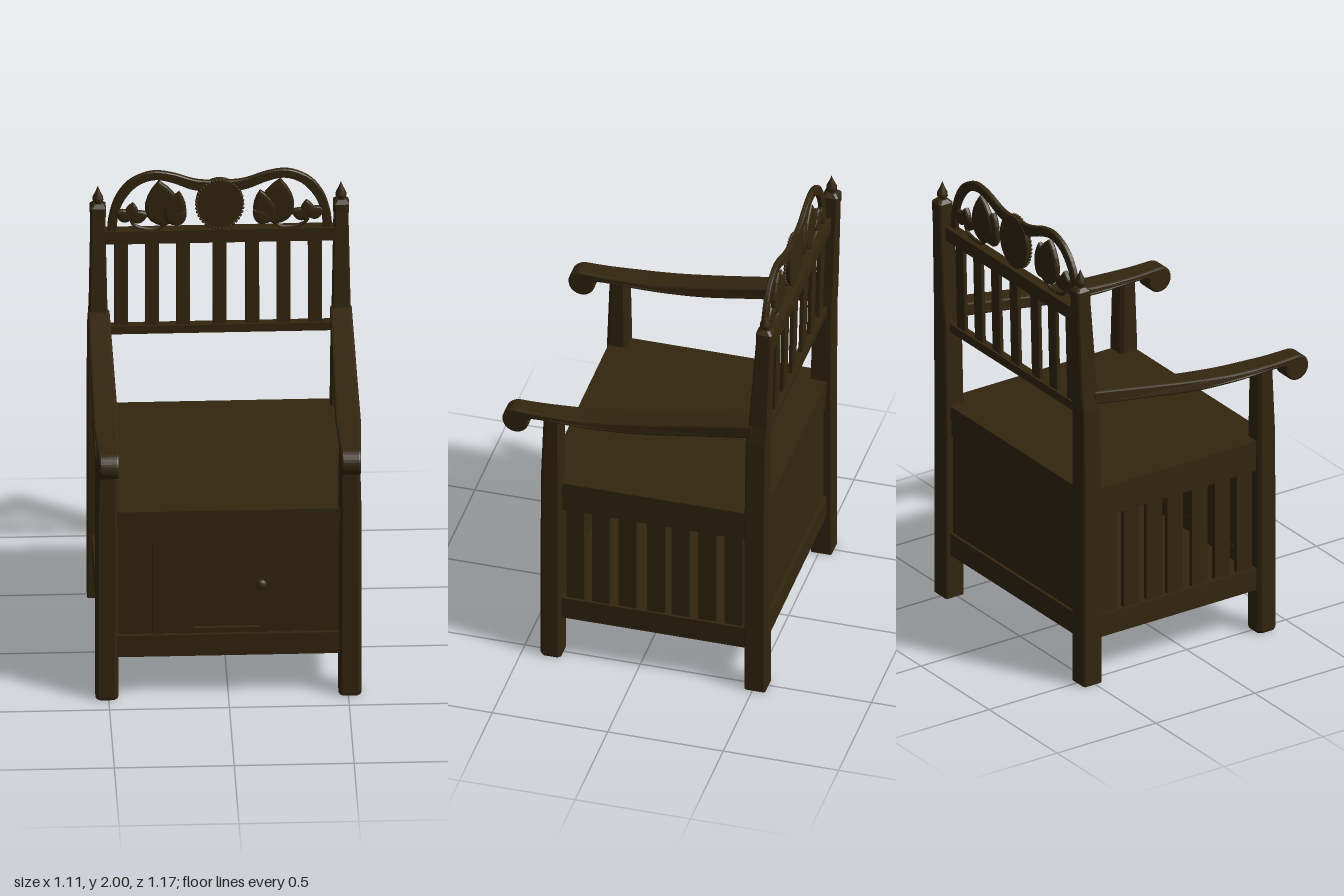
import * as THREE from 'three';

const wood = new THREE.MeshStandardMaterial({ color: 0x33260f });
wood.name = 'dark wood';

function add(parent, name, geometry, x = 0, y = 0, z = 0) {
  const mesh = new THREE.Mesh(geometry, wood);
  mesh.name = name;
  mesh.position.set(x, y, z);
  parent.add(mesh);
  return mesh;
}

// Box given by its limits on each axis
function box(parent, name, x0, x1, y0, y1, z0, z1) {
  return add(parent, name, new THREE.BoxGeometry(x1 - x0, y1 - y0, z1 - z0),
    (x0 + x1) / 2, (y0 + y1) / 2, (z0 + z1) / 2);
}

// Post with chamfered corners; sections are [y, x, z, width, depth]
function postGeometry(sections, chamfer) {
  const rings = sections.map(([y, x, z, w, d]) => {
    const a = w / 2, b = d / 2, c = Math.min(chamfer, a / 2, b / 2);
    return [[a, -b + c], [a, b - c], [a - c, b], [c - a, b], [-a, b - c], [-a, c - b], [c - a, -b], [a - c, -b]]
      .map(([u, v]) => [x + u, y, z + v]);
  });
  const pos = [];
  const tri = (...points) => points.forEach((p) => pos.push(...p));
  const last = rings[rings.length - 1];
  for (let j = 0; j < 8; j++) {
    const k = (j + 1) % 8;
    for (let i = 0; i < rings.length - 1; i++) {
      tri(rings[i][j], rings[i + 1][j], rings[i][k]);
      tri(rings[i][k], rings[i + 1][j], rings[i + 1][k]);
    }
    if (j > 0 && j < 7) {
      tri(rings[0][0], rings[0][j], rings[0][k]);
      tri(last[0], last[k], last[j]);
    }
  }
  const g = new THREE.BufferGeometry();
  g.setAttribute('position', new THREE.Float32BufferAttribute(pos, 3));
  g.computeVertexNormals();
  return g;
}

const vectors = (list) => list.map(([x, y]) => new THREE.Vector2(x, y));

// Arm: side profile extruded across, then tapered along its length
function armGeometry() {
  const s = new THREE.Shape();
  s.moveTo(-0.5, 1.355);
  s.splineThru(vectors([[-0.25, 1.312], [0, 1.27], [0.2, 1.245], [0.4, 1.235], [0.53, 1.237]]));
  s.absarc(0.53, 1.18, 0.057, Math.PI / 2, -Math.PI - 0.1, true);
  s.splineThru(vectors([[0.44, 1.204], [0.2, 1.205], [0, 1.217], [-0.25, 1.255], [-0.5, 1.292]]));
  const g = new THREE.ExtrudeGeometry(s, {
    depth: 0.08, bevelThickness: 0.01, bevelSize: 0.008, bevelOffset: -0.008, bevelSegments: 2, curveSegments: 12,
  });
  g.translate(0, 0, -0.04).rotateY(-Math.PI / 2);
  const p = g.attributes.position;
  for (let i = 0; i < p.count; i++) {
    const z = p.getZ(i);
    const w = z < 0.3 ? 0.9 + 0.14 * Math.min(1, (z + 0.5) / 0.7) : 1.04 - (z - 0.3) * 0.8;
    p.setX(i, p.getX(i) * w);
  }
  g.computeVertexNormals();
  return g;
}

// Pointed leaf, base at the origin and tip upward
function leafGeometry(w, h, depth) {
  const s = new THREE.Shape();
  s.moveTo(0, 0);
  s.bezierCurveTo(w * 0.7, h * 0.1, w * 0.7, h * 0.6, 0, h);
  s.bezierCurveTo(-w * 0.7, h * 0.6, -w * 0.7, h * 0.1, 0, 0);
  return new THREE.ExtrudeGeometry(s, {
    depth, bevelThickness: 0.008, bevelSize: 0.014, bevelOffset: -0.014, bevelSegments: 2, curveSegments: 8,
  }).translate(0, 0, -depth / 2);
}

function finialGeometry() {
  return new THREE.LatheGeometry(vectors([[0, 0], [0.025, 0], [0.027, 0.012], [0.013, 0.022], [0.012, 0.03],
    [0.023, 0.045], [0.022, 0.06], [0.01, 0.085], [0, 0.112]]), 16);
}

function buildBase(chair) {
  const base = new THREE.Group();
  base.name = 'storageBase';
  chair.add(base);
  box(base, 'seat', -0.535, 0.535, 0.83, 0.89, -0.535, 0.412);
  box(base, 'floor', -0.52, 0.52, 0.215, 0.235, -0.52, 0.4);
  // Rails on all four sides
  for (const [name, y0, y1, inset] of [['lowerRail', 0.2, 0.3, 0], ['upperRail', 0.75, 0.835, 0.006]]) {
    box(base, name, -0.48, 0.48, y0, y1, 0.37, 0.41 - inset);
    box(base, name, -0.48, 0.48, y0, y1, -0.535 + inset, -0.495);
    for (const s of [-1, 1]) {
      const xs = [s * 0.495, s * (0.535 - inset)].sort((a, b) => a - b);
      box(base, name, xs[0], xs[1], y0, y1, -0.49, 0.36);
    }
  }
  box(base, 'backPanel', -0.48, 0.48, 0.29, 0.76, -0.522, -0.505);
  // Side slats
  for (const s of [-1, 1])
    for (const z of [0.276, 0.165, 0.05, -0.074, -0.18, -0.295, -0.41])
      add(base, 'sideSlat', new THREE.BoxGeometry(0.02, 0.47, 0.077), s * 0.513, 0.525, z);
  // Front planks either side of the door
  for (const [start, end] of [[-0.475, -0.16], [0.165, 0.475]]) {
    const n = 6, step = (end - start) / n;
    box(base, 'plankBacking', start, end, 0.29, 0.76, 0.375, 0.385);
    for (let i = 0; i < n; i++)
      box(base, 'frontPlank', start + i * step + 0.002, start + (i + 1) * step - 0.002,
        0.29, 0.76, 0.38, i % 2 ? 0.396 : 0.392);
  }
  // Door with a recessed panel and a round knob
  box(base, 'doorPanel', -0.16, 0.165, 0.29, 0.76, 0.372, 0.382);
  box(base, 'doorStile', 0.13, 0.163, 0.302, 0.75, 0.375, 0.4);
  box(base, 'doorStile', -0.16, -0.145, 0.302, 0.75, 0.375, 0.4);
  box(base, 'doorRail', -0.145, 0.13, 0.302, 0.325, 0.375, 0.398);
  box(base, 'doorRail', -0.145, 0.13, 0.738, 0.75, 0.375, 0.398);
  add(base, 'doorKnob', new THREE.SphereGeometry(0.024, 16, 12), 0.137, 0.53, 0.405).scale.z = 0.7;
}

function buildBack(chair) {
  const back = new THREE.Group();
  back.name = 'backrest';
  chair.add(back);
  box(back, 'lowerBackRail', -0.48, 0.48, 1.235, 1.272, -0.535, -0.498);
  box(back, 'upperBackRail', -0.49, 0.49, 1.66, 1.72, -0.55, -0.503);
  for (const x of [-0.412, -0.282, -0.153, 0, 0.136, 0.266, 0.397])
    add(back, 'backSlat', postGeometry([[1.26, x, -0.516, 0.058, 0.018], [1.67, x, -0.526, 0.058, 0.018]], 0.002));

  // Double arched crest band
  const half = [[0.47, 1.71], [0.462, 1.79], [0.435, 1.88], [0.385, 1.95], [0.32, 1.988], [0.26, 1.998],
    [0.19, 1.985], [0.12, 1.96], [0.06, 1.949]];
  const inner = [[0.43, 1.71], [0.424, 1.79], [0.4, 1.86], [0.355, 1.92], [0.305, 1.95], [0.255, 1.957],
    [0.19, 1.94], [0.12, 1.91], [0.06, 1.9]];
  const flip = (list) => list.map(([x, y]) => [-x, y]).reverse();
  const smooth = (list) => new THREE.SplineCurve(vectors([...list, ...flip(list)])).getPoints(56);
  const crest = new THREE.Shape([...smooth(half), ...smooth(inner).reverse()]);
  add(back, 'crestBand', new THREE.ExtrudeGeometry(crest, {
    depth: 0.014, bevelThickness: 0.004, bevelSize: 0.004, bevelOffset: -0.004, bevelSegments: 1,
  }), 0, 0, -0.527);

  // Oval medallion with a beaded edge
  const disc = add(back, 'medallion', new THREE.CylinderGeometry(0.094, 0.1, 0.026, 40), 0, 1.838, -0.52);
  disc.rotation.x = Math.PI / 2;
  disc.scale.z = 1.18;
  for (let i = 0; i < 40; i++) {
    const a = i / 40 * Math.PI * 2;
    add(back, 'medallionBead', new THREE.SphereGeometry(0.007, 8, 6),
      0.097 * Math.cos(a), 1.838 + 0.114 * Math.sin(a), -0.511);
  }

  // Carved foliage, mirrored about the medallion
  for (const s of [-1, 1]) {
    const leaf = (w, h, x, y, turn, z = -0.52) => {
      add(back, 'leaf', leafGeometry(w, h, 0.012), s * x, y, z).rotation.z = -s * turn;
    };
    leaf(0.14, 0.215, 0.228, 1.738, 0.12);
    leaf(0.09, 0.16, 0.2, 1.745, -0.2, -0.514);
    leaf(0.06, 0.09, 0.2, 1.75, -0.75, -0.512);
    leaf(0.06, 0.11, 0.225, 1.75, 0.75);
    for (const turn of [-1.2, -0.1, 1]) leaf(0.055, 0.078, 0.37, 1.77, turn);
    const stem = new THREE.CatmullRomCurve3([[0.37, 1.78], [0.36, 1.745], [0.31, 1.724], [0.25, 1.727], [0.225, 1.75]]
      .map(([x, y]) => new THREE.Vector3(s * x, y, -0.52)));
    add(back, 'stem', new THREE.TubeGeometry(stem, 16, 0.008, 8));
  }
}

export function createModel() {
  const chair = new THREE.Group();
  chair.name = 'armchair';
  buildBase(chair);
  buildBack(chair);
  const arm = armGeometry();
  const finial = finialGeometry();
  for (const s of [-1, 1]) {
    // Front legs, rear posts leaning back above the arms, finials and arms
    add(chair, 'frontLeg', postGeometry([[0, s * 0.507, 0.375, 0.085, 0.085], [0.012, s * 0.507, 0.375, 0.096, 0.092],
      [0.9, s * 0.507, 0.375, 0.094, 0.09], [1.215, s * 0.505, 0.372, 0.084, 0.075]], 0.014));
    add(chair, 'rearPost', postGeometry([[0, s * 0.507, -0.51, 0.095, 0.09], [0.9, s * 0.507, -0.51, 0.094, 0.09],
      [1.26, s * 0.508, -0.514, 0.088, 0.088], [1.36, s * 0.507, -0.522, 0.076, 0.084],
      [1.79, s * 0.507, -0.543, 0.06, 0.066]], 0.006));
    add(chair, 'postCap', postGeometry([[1.785, s * 0.507, -0.544, 0.066, 0.07], [1.825, s * 0.507, -0.544, 0.066, 0.07],
      [1.84, s * 0.507, -0.544, 0.04, 0.04]], 0.008));
    add(chair, 'finial', finial, s * 0.507, 1.808, -0.543);
    add(chair, 'arm', arm, s * 0.505, 0, 0);
  }
  return chair;
}
